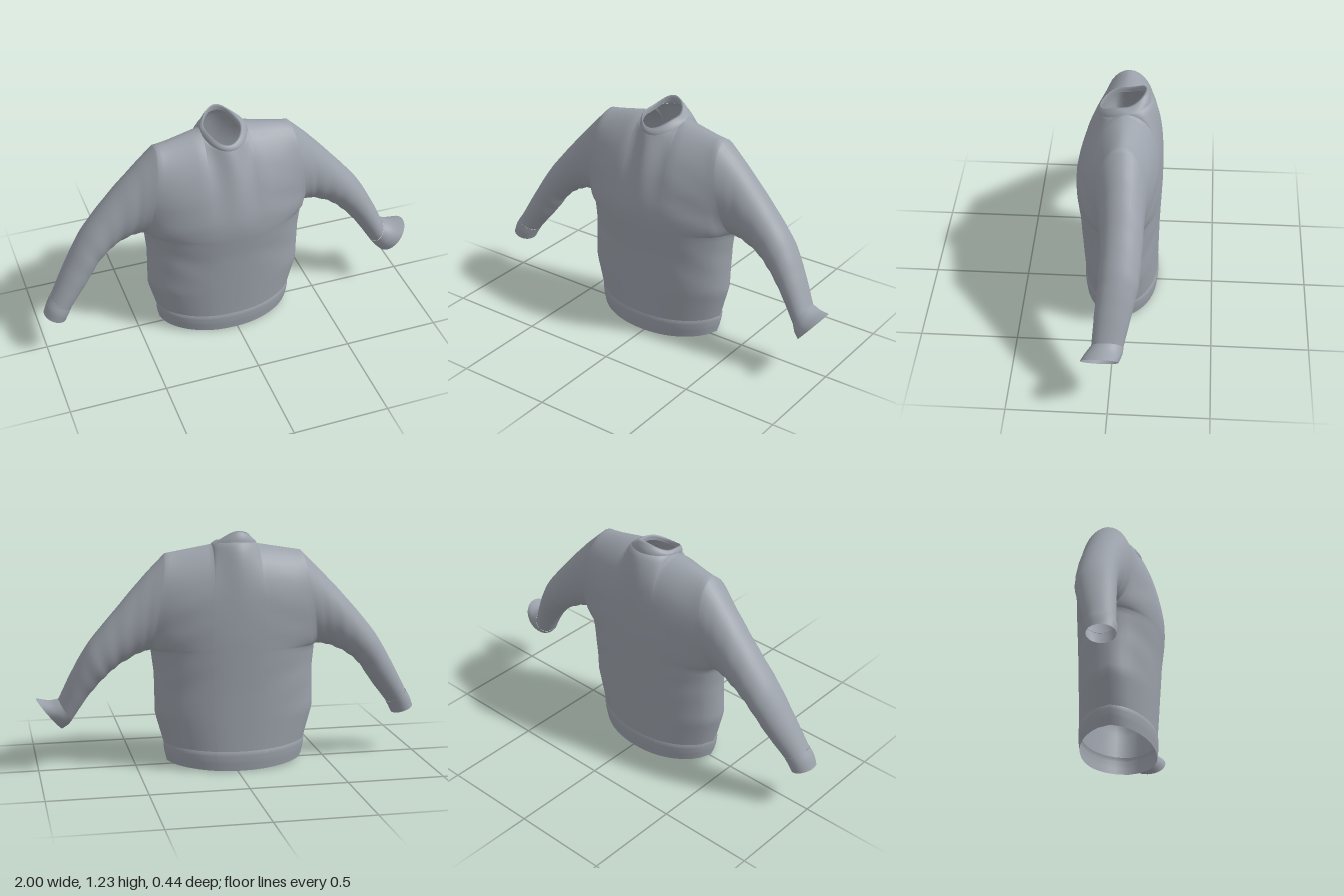
import * as THREE from 'three';
import { mergeGeometries, mergeVertices } from 'three/addons/utils/BufferGeometryUtils.js';

const { lerp, smoothstep } = THREE.MathUtils;
const ARMPIT = 0.62, SHOULDER = 1.11, MID_Z = -0.03, NECK_S = 1 / 3, RING = 32;

// Piecewise linear lookup in [key, value] pairs
function lookup(table, k) {
  let i = 1;
  while (i < table.length - 1 && k > table[i][0]) i++;
  const [a, b] = [table[i - 1], table[i]];
  return lerp(a[1], b[1], Math.min(1, Math.max(0, (k - a[0]) / (b[0] - a[0]))));
}

// Surface from a rule fn(u, v) -> [x, y, z]
function sheet(fn, nu, nv, flip = false) {
  const pos = [], idx = [];
  for (let j = 0; j <= nv; j++)
    for (let i = 0; i <= nu; i++) pos.push(...fn(i / nu, j / nv));
  for (let j = 0; j < nv; j++)
    for (let i = 0; i < nu; i++) {
      const a = j * (nu + 1) + i, b = a + 1, c = a + nu + 1, d = c + 1;
      if (flip) idx.push(a, c, b, b, c, d);
      else idx.push(a, b, c, b, d, c);
    }
  const g = new THREE.BufferGeometry();
  g.setAttribute('position', new THREE.Float32BufferAttribute(pos, 3));
  g.setIndex(idx);
  return g;
}

// Joins sheets along shared edges with smooth normals
function weld(...parts) {
  const g = mergeVertices(mergeGeometries(parts), 1e-4);
  g.computeVertexNormals();
  return g;
}

// Torso measurements by height
const HALF_WIDTH = [[0, 0.355], [0.11, 0.37], [0.28, 0.417], [0.5, 0.417], [0.62, 0.43]];
const CENTRE_X = [[0, -0.02], [0.28, -0.018], [0.62, -0.01]];
const MIDDLE = [[0, -0.01], [0.3, -0.015], [0.62, MID_Z]];
const FRONT = [[0, 0.175], [0.11, 0.178], [0.3, 0.19], [0.5, 0.203], [0.62, 0.217], [0.72, 0.23]];
const BACK = [[0, -0.203], [0.11, -0.205], [0.4, -0.21], [0.7, -0.222]];

// Across the body: columns are denser round the neck
function column(u) {
  const k = 2 * u - 1, a = Math.abs(k);
  return a < 0.5 ? NECK_S * Math.sin(k * Math.PI) : Math.sign(k) * lerp(NECK_S, 1, 2 * a - 1);
}

// Depth profile across the body, from 1 at the middle to 0 at the side
const bowAt = (s, power) => Math.pow(Math.max(0, 1 - Math.abs(s) ** 2.2), power);

// Lower body, from hem to armpit
function lowerPoint(s, y, side, swell = 0) {
  const mid = lookup(MIDDLE, y), bow = bowAt(s, 0.6);
  const half = Math.abs(lookup(side > 0 ? FRONT : BACK, y) - mid) + swell;
  const ripple = 0.006 * Math.sin(y * 30 + s * 7) * s * s * bow * smoothstep(y, 0.2, 0.5) * (1 - smoothstep(y, 0.5, ARMPIT));
  return [lookup(CENTRE_X, y) + s * (lookup(HALF_WIDTH, y) + swell), y, mid + side * (half * bow + ripple)];
}

// Upper body, from armpit (t = 0) to shoulder line and neckline (t = 1)
function upperPoint(s, t, side) {
  const a = Math.abs(s), front = side > 0;
  const neck = Math.sqrt(Math.max(0, 1 - (a / NECK_S) ** 2));
  const outer = Math.max(0, (a - NECK_S) / (1 - NECK_S));
  const y = lerp(ARMPIT, lerp(1.15, SHOULDER, outer), t) + neck * (front ? -0.055 : 0.02) * t ** 4;
  const chest = Math.abs(lookup(front ? FRONT : BACK, y) - MID_Z);
  // The neckline is a crisp oval at the top and melts into the shoulders below
  const soft = Math.exp(-((a / 0.24) ** 2));
  const neckDepth = lerp(soft, neck, t ** 6) * (front ? 0.14 : 0.125);
  const round = lerp(front ? 1 : 0.6, 0.5, smoothstep(a, 0, 0.45));
  const depth = lerp(neckDepth, chest, Math.pow(1 - Math.pow(t, front ? 1.6 : 4), round));
  const arch = Math.sqrt(Math.max(0, 1 - (2 * t - 1) ** 2));
  const edge = 0.13 * Math.pow(arch, 3 - 2 * a);
  const bow = bowAt(s, lerp(0.6, 1, smoothstep(t, 0, 0.4)));
  const ripple = 0.006 * Math.sin(t * 22 + a * 6) * a * a * (1 - a) * 4 * Math.sin(Math.PI * t) * (1 - t);
  return [-0.01 + s * lerp(0.43, 0.35, t), y, MID_Z + side * (edge + (depth - edge) * bow + ripple)];
}

const hemTop = s => 0.12 - 0.018 * (1 - s * s);
const hemBottom = s => 0.022 * s * s;

function torsoSheets() {
  return [1, -1].flatMap(side => [
    sheet((u, v) => {
      const s = column(u);
      return lowerPoint(s, lerp(hemTop(s), ARMPIT, v), side);
    }, 40, 18, side < 0),
    sheet((u, v) => upperPoint(column(u), (1 - Math.cos(Math.PI * v)) / 2, side), 40, RING / 2, side < 0),
  ]);
}

// Ribbed band at the waist, a little proud of the body and tucked in along its seam
function hem() {
  return weld(...[1, -1].map(side => sheet((u, v) => {
    const s = column(u);
    return lowerPoint(s, lerp(hemBottom(s), hemTop(s), v), side, 0.005 * Math.min(1, v * 2, (1 - v) * 8));
  }, 40, 8, side < 0)));
}

// Sleeve rings: top x, top y, underside x, underside y, front z, back z
const RIGHT_SLEEVE = [
  [-0.36, 1.11, -0.44, 0.62, 0.10, -0.16],
  [-0.46, 1.01, -0.51, 0.61, 0.075, -0.15],
  [-0.61, 0.85, -0.60, 0.57, 0.06, -0.145],
  [-0.76, 0.67, -0.68, 0.505, 0.065, -0.135],
  [-0.86, 0.51, -0.76, 0.395, 0.075, -0.105],
  [-0.955, 0.34, -0.855, 0.275, 0.085, -0.06],
];
const LEFT_SLEEVE = [
  [0.34, 1.11, 0.42, 0.62, 0.10, -0.16],
  [0.45, 1.00, 0.48, 0.605, 0.075, -0.15],
  [0.60, 0.83, 0.585, 0.55, 0.06, -0.145],
  [0.74, 0.66, 0.66, 0.485, 0.065, -0.135],
  [0.82, 0.52, 0.74, 0.39, 0.075, -0.105],
  [0.89, 0.37, 0.825, 0.26, 0.085, -0.07],
];
const RIGHT_CUFF = [RIGHT_SLEEVE[5], [-0.98, 0.30, -0.875, 0.24, 0.092, -0.052], [-1.0, 0.25, -0.89, 0.21, 0.09, -0.045]];
const LEFT_CUFF = [LEFT_SLEEVE[5], [0.935, 0.36, 0.845, 0.235, 0.11, -0.065], [1.0, 0.368, 0.872, 0.212, 0.132, -0.05]];

function tube(rings, rows, folds, swell, flip) {
  const curve = f => new THREE.CatmullRomCurve3(rings.map(f));
  const tops = curve(r => new THREE.Vector3(r[0], r[1], 0));
  const unders = curve(r => new THREE.Vector3(r[2], r[3], 0));
  const depths = curve(r => new THREE.Vector3(r[4], r[5], 0));
  return sheet((u, v) => {
    const a = u * 2 * Math.PI, p = tops.getPoint(v), q = unders.getPoint(v), d = depths.getPoint(v);
    // Soft creases gather on the underside
    const crease = folds * Math.sin(v * 46 + Math.sin(a) * 2) * Math.sin(Math.PI * v) * (0.6 - 0.4 * Math.cos(a));
    const k = 1 + crease + swell, c = Math.cos(a) * k / 2;
    return [
      (p.x + q.x) / 2 + (p.x - q.x) * c,
      (p.y + q.y) / 2 + (p.y - q.y) * c,
      (d.x + d.y) / 2 + (d.x - d.y) / 2 * Math.sin(a) * k,
    ];
  }, RING, rows, flip);
}

// Collar: a low band at the front that rises to a peak at the back, then folds inside
function collar() {
  return weld(sheet((u, v) => {
    const a = u * 2 * Math.PI, c = Math.cos(a), s = Math.sin(a);
    const base = [-0.01 + 0.118 * s, 1.15 - (c > 0 ? 0.055 : 0.02) * c, MID_Z + (c > 0 ? 0.14 : 0.125) * c];
    const rim = [-0.02 + 0.09 * s, 1.17 + (c > 0 ? -0.045 : 0.055) * c * c, -0.018 + 0.112 * c];
    const k = Math.min(1, v / 0.75), inside = Math.max(0, (v - 0.75) / 0.25);
    const bulge = 0.005 * Math.sin(Math.PI * k);
    return [
      lerp(base[0], rim[0], k) + s * bulge,
      lerp(base[1], rim[1], k) - inside * 0.03,
      lerp(base[2], rim[2], k) + c * bulge,
    ];
  }, 40, 8));
}

export function createModel() {
  const model = new THREE.Group();
  model.name = 'sweater';
  const wool = new THREE.MeshStandardMaterial({ color: 0x9ca2ab, side: THREE.DoubleSide });
  wool.name = 'grey wool';
  const add = (name, geometry) => {
    const mesh = new THREE.Mesh(geometry, wool);
    mesh.name = name;
    model.add(mesh);
  };
  // Torso and sleeves share one skin so the shoulders stay smooth
  add('torsoAndSleeves', weld(
    ...torsoSheets(),
    tube(RIGHT_SLEEVE, 50, 0.018, 0, true),
    tube(LEFT_SLEEVE, 50, 0.018, 0, false),
  ));
  add('hemBand', hem());
  add('collar', collar());
  add('rightCuff', weld(tube(RIGHT_CUFF, 8, 0, 0.02, true)));
  add('leftCuff', weld(tube(LEFT_CUFF, 8, 0, 0.02, false)));
  return model;
}
